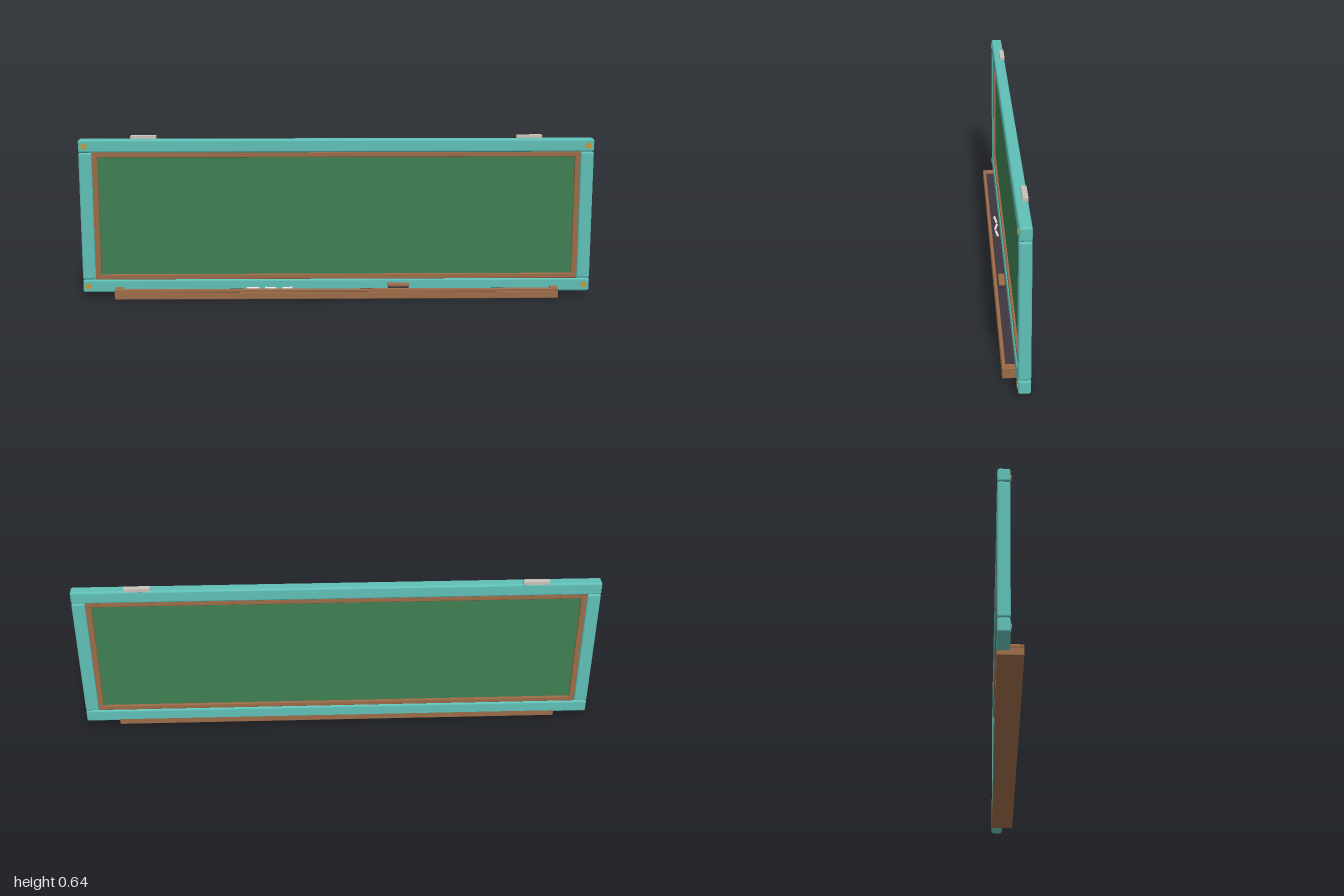
import * as THREE from 'three';
import { RoundedBoxGeometry } from 'three/addons/geometries/RoundedBoxGeometry.js';

const paint = (name, color) => {
  const m = new THREE.MeshStandardMaterial({ color });
  m.name = name;
  return m;
};

export function createModel() {
  const model = new THREE.Group();
  model.name = 'chalkboard';
  const teal = paint('teal paint', 0x5fbfb6);
  const green = paint('board green', 0x3f7f52);
  const wood = paint('wood', 0x9c6b48);
  const felt = paint('dark felt', 0x3f3540);
  const metal = paint('pale metal', 0xc9c1b8);
  const brass = paint('brass', 0xc09a3e);
  const white = paint('chalk white', 0xf0ece4);

  // Rounded block given by its min and max corners
  const block = (name, mat, x0, x1, y0, y1, z0, z1, r = 0.003) => {
    const mesh = new THREE.Mesh(new RoundedBoxGeometry(x1 - x0, y1 - y0, z1 - z0, 3, r), mat);
    mesh.position.set((x0 + x1) / 2, (y0 + y1) / 2, (z0 + z1) / 2);
    mesh.name = name;
    model.add(mesh);
    return mesh;
  };

  // Writing surface, visible on both sides
  const board = new THREE.Mesh(new THREE.BoxGeometry(1.89, 0.5, 0.016), green);
  board.position.set(0, 0.322, -0.022);
  board.name = 'writingBoard';
  model.add(board);

  // Outer frame and inner wooden trim
  block('topRail', teal, -1, 1, 0.574, 0.625, -0.044, 0, 0.008);
  block('bottomRail', teal, -1, 1, 0.018, 0.07, -0.044, 0, 0.008);
  block('topTrim', wood, -0.95, 0.95, 0.555, 0.575, -0.039, -0.005);
  block('bottomTrim', wood, -0.95, 0.95, 0.069, 0.089, -0.039, -0.005);
  for (const s of [-1, 1]) {
    block('sidePost', teal, s * 0.974 - 0.026, s * 0.974 + 0.026, 0.07, 0.574, -0.044, 0, 0.008);
    block('sideTrim', wood, s * 0.938 - 0.011, s * 0.938 + 0.011, 0.085, 0.559, -0.039, -0.005);

    // Hanging brackets on the top rail
    block('hangingBracket', metal, s * 0.75 - 0.05, s * 0.75 + 0.05, 0.622, 0.638, -0.044, -0.024, 0.002);

    // Brass studs in the corners
    for (const y of [0.044, 0.599]) {
      const stud = new THREE.Mesh(new THREE.CylinderGeometry(0.012, 0.012, 0.008, 12), brass);
      stud.rotation.x = Math.PI / 2;
      stud.position.set(s * 0.977, y, -0.001);
      stud.name = 'cornerStud';
      model.add(stud);
    }

    // Tray end blocks
    block('trayEnd', wood, s * 0.855 - 0.015, s * 0.855 + 0.015, 0.028, 0.041, 0, 0.034, 0.003);
  }

  // Chalk tray with front lip and dark lining
  block('tray', wood, -0.87, 0.87, 0, 0.03, -0.044, 0.046, 0.004);
  block('trayLip', wood, -0.87, 0.87, 0.028, 0.041, 0.033, 0.046, 0.004);
  block('trayLining', felt, -0.84, 0.84, 0.028, 0.032, 0, 0.033, 0.001);

  // Eraser with felt pad
  block('eraserFelt', felt, 0.203, 0.282, 0.032, 0.045, 0.006, 0.026, 0.002);
  block('eraserHandle', wood, 0.2, 0.285, 0.044, 0.056, 0.004, 0.028, 0.004);

  // Chalk sticks lying in the tray
  for (const [x, length, turn] of [[-0.33, 0.05, 0.12], [-0.26, 0.045, -0.2], [-0.195, 0.04, 0.15]]) {
    const stick = new THREE.Mesh(new THREE.CylinderGeometry(0.005, 0.005, length, 10), white);
    stick.rotation.set(0, turn, Math.PI / 2);
    stick.position.set(x, 0.037, 0.014);
    stick.name = 'chalkStick';
    model.add(stick);
  }
  return model;
}
